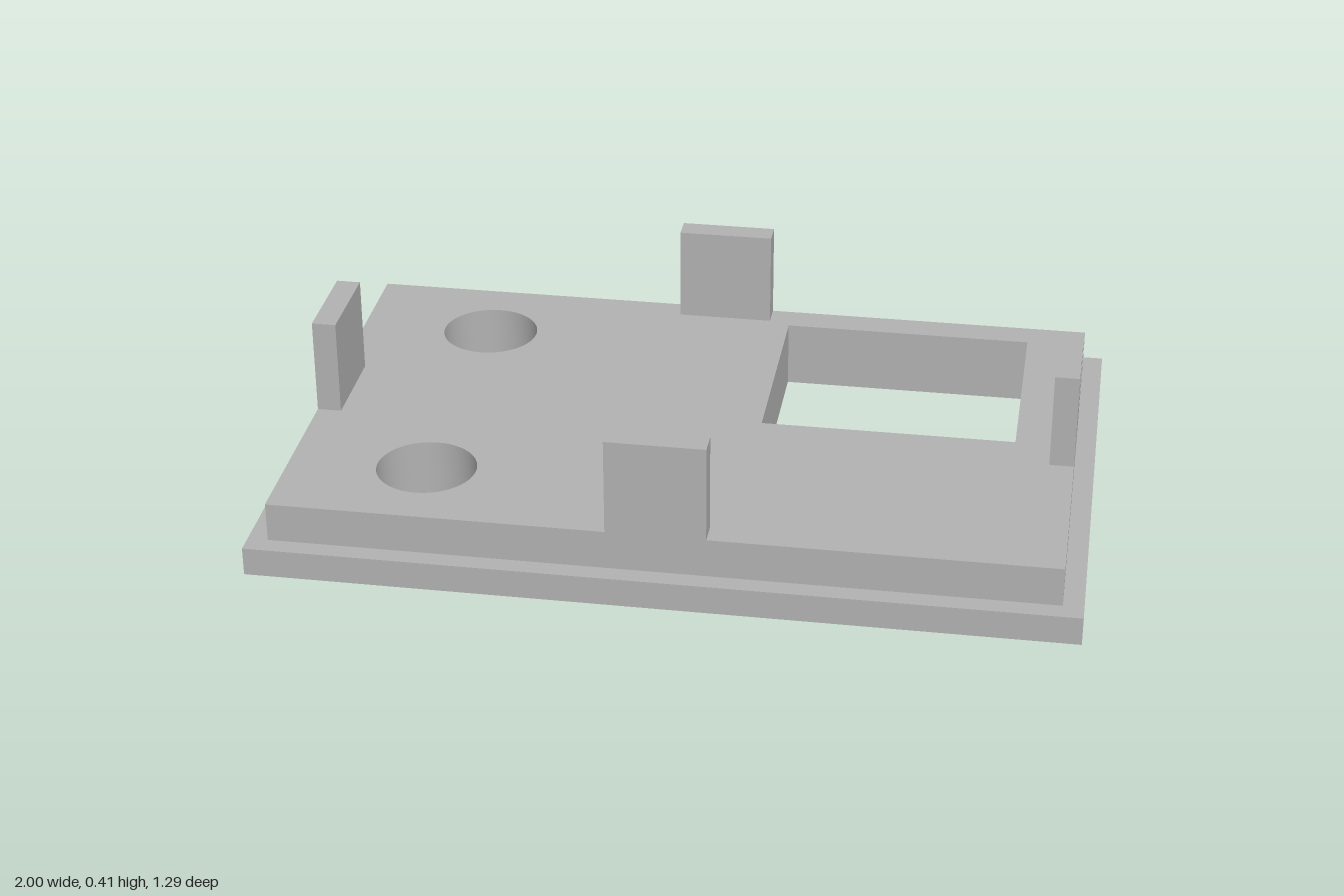
import * as THREE from 'three';
import { toCreasedNormals } from 'three/addons/utils/BufferGeometryUtils.js';

export function createModel() {
  const model = new THREE.Group();
  model.name = 'enclosureLid';
  const grey = new THREE.MeshStandardMaterial({ color: 0xb2b2b2 });
  grey.name = 'grey plastic';

  const add = (name, geometry, x = 0, y = 0, z = 0) => {
    const mesh = new THREE.Mesh(geometry, grey);
    mesh.name = name;
    mesh.position.set(x, y, z);
    model.add(mesh);
  };

  // Rectangular outline in plan; shape y points towards -z
  const rectangle = (path, x0, x1, y0, y1) =>
    path.moveTo(x0, y0).lineTo(x1, y0).lineTo(x1, y1).lineTo(x0, y1).closePath();

  // Plate pierced by the square window and two round holes
  const plate = (halfX, halfZ, height) => {
    const shape = rectangle(new THREE.Shape(), -halfX, halfX, -halfZ, halfZ);
    shape.holes.push(rectangle(new THREE.Path(), 0.168, 0.802, -0.021, 0.518));
    for (const side of [-1, 1]) {
      shape.holes.push(new THREE.Path().absarc(-0.61, side * 0.365, 0.123, 0, Math.PI * 2, true));
    }
    const geometry = new THREE.ExtrudeGeometry(shape, { depth: height, bevelEnabled: false, curveSegments: 32 });
    geometry.rotateX(-Math.PI / 2);
    return toCreasedNormals(geometry, Math.PI / 6);
  };

  const rimTop = 0.072, plateTop = 0.171, tabTop = 0.414;
  add('outerFlange', plate(1, 0.645, rimTop));
  add('raisedPlate', plate(0.95, 0.597, plateTop - rimTop), 0, rimTop, 0);

  // Upright tabs flush with each edge of the raised plate
  const tabHeight = tabTop - plateTop, tabY = (tabTop + plateTop) / 2;
  const width = 0.242, thick = 0.06;
  for (const side of [-1, 1]) {
    add(side > 0 ? 'leftTab' : 'rightTab',
      new THREE.BoxGeometry(thick, tabHeight, width), side * (0.95 - thick / 2), tabY, 0);
    add(side > 0 ? 'frontTab' : 'backTab',
      new THREE.BoxGeometry(width, tabHeight, thick), -0.006, tabY, side * (0.597 - thick / 2));
  }
  return model;
}
